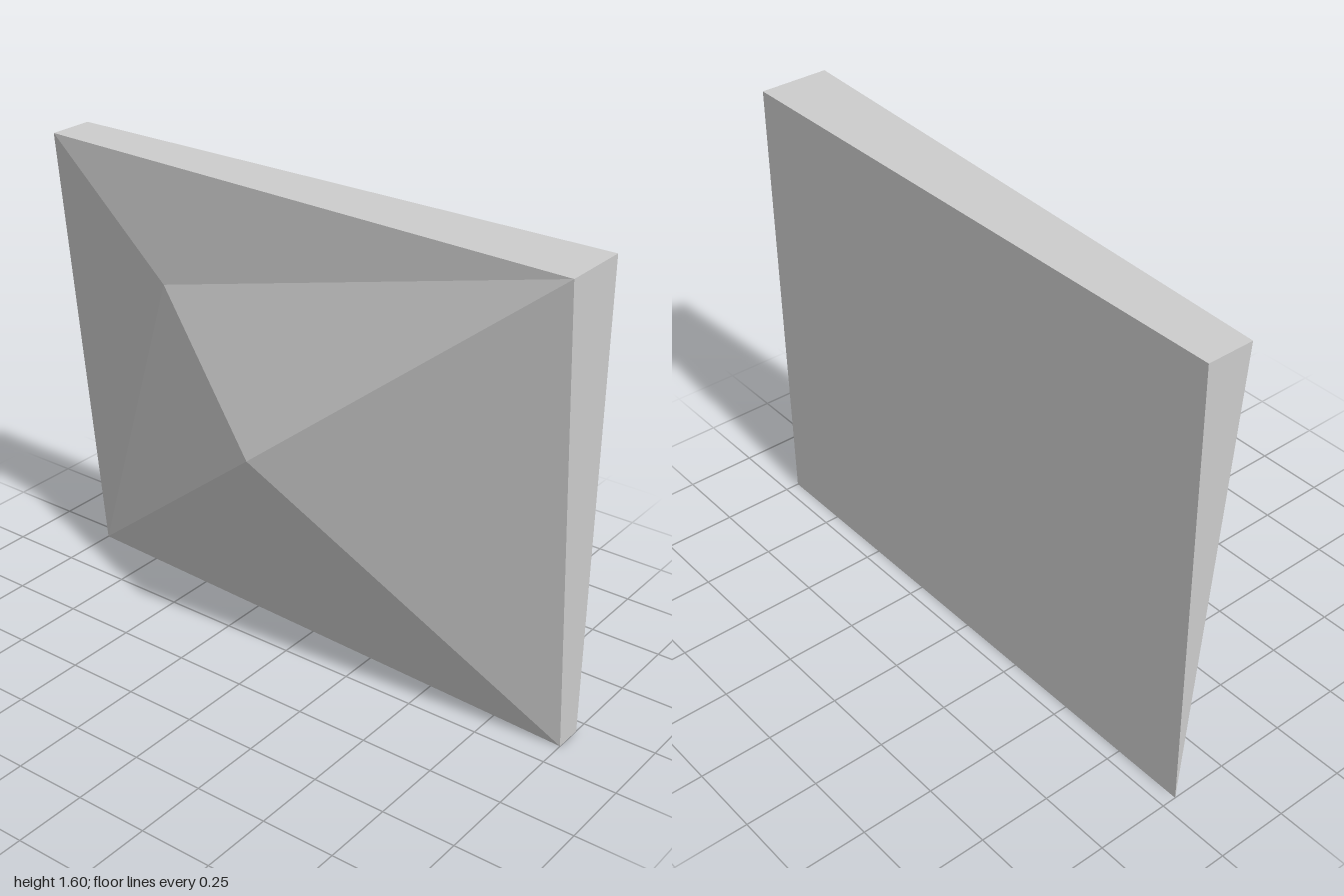
import * as THREE from 'three';

// Flat-faced geometry from named corner points and polygon loops (fan-filled, counter-clockwise)
function facets(points, loops) {
  const pos = [];
  for (const loop of loops) {
    for (let i = 1; i < loop.length - 1; i++) {
      for (const key of [loop[0], loop[i], loop[i + 1]]) pos.push(...points[key]);
    }
  }
  const geo = new THREE.BufferGeometry();
  geo.setAttribute('position', new THREE.Float32BufferAttribute(pos, 3));
  geo.computeVertexNormals();
  return geo;
}

export function createModel() {
  const group = new THREE.Group();
  group.name = 'facetedPanel';
  const grey = new THREE.MeshStandardMaterial({ color: 0xcccccc, flatShading: true });
  grey.name = 'lightGrey';

  const back = -0.2;
  const points = {
    // front rim: each corner has its own depth, the lower right-hand one meets the back
    topRight: [-1, 1.6, -0.04],
    topLeft: [1, 1.6, 0.04],
    bottomLeft: [1, 0, -0.1],
    bottomRight: [-1, 0, back],
    // raised points of the front
    peak: [0, 0.8, 0.2],
    shoulder: [-0.5, 1.2, 0],
    // back corners
    backTopRight: [-1, 1.6, back],
    backTopLeft: [1, 1.6, back],
    backBottomLeft: [1, 0, back],
  };

  const add = (name, loops) => {
    const mesh = new THREE.Mesh(facets(points, loops), grey);
    mesh.name = name;
    group.add(mesh);
  };

  // Off-centre pyramid of six facets
  add('facetedFront', [
    ['topRight', 'shoulder', 'topLeft'],
    ['shoulder', 'peak', 'topLeft'],
    ['peak', 'bottomLeft', 'topLeft'],
    ['peak', 'bottomRight', 'bottomLeft'],
    ['shoulder', 'bottomRight', 'peak'],
    ['topRight', 'bottomRight', 'shoulder'],
  ]);

  // Tapering edges
  add('topEdge', [['topRight', 'topLeft', 'backTopLeft', 'backTopRight']]);
  add('leftEdge', [['topLeft', 'bottomLeft', 'backBottomLeft', 'backTopLeft']]);
  add('rightEdge', [['topRight', 'backTopRight', 'bottomRight']]);
  add('bottomEdge', [['bottomRight', 'backBottomLeft', 'bottomLeft']]);

  // Flat back
  add('backPanel', [['backTopLeft', 'backBottomLeft', 'bottomRight', 'backTopRight']]);

  return group;
}
